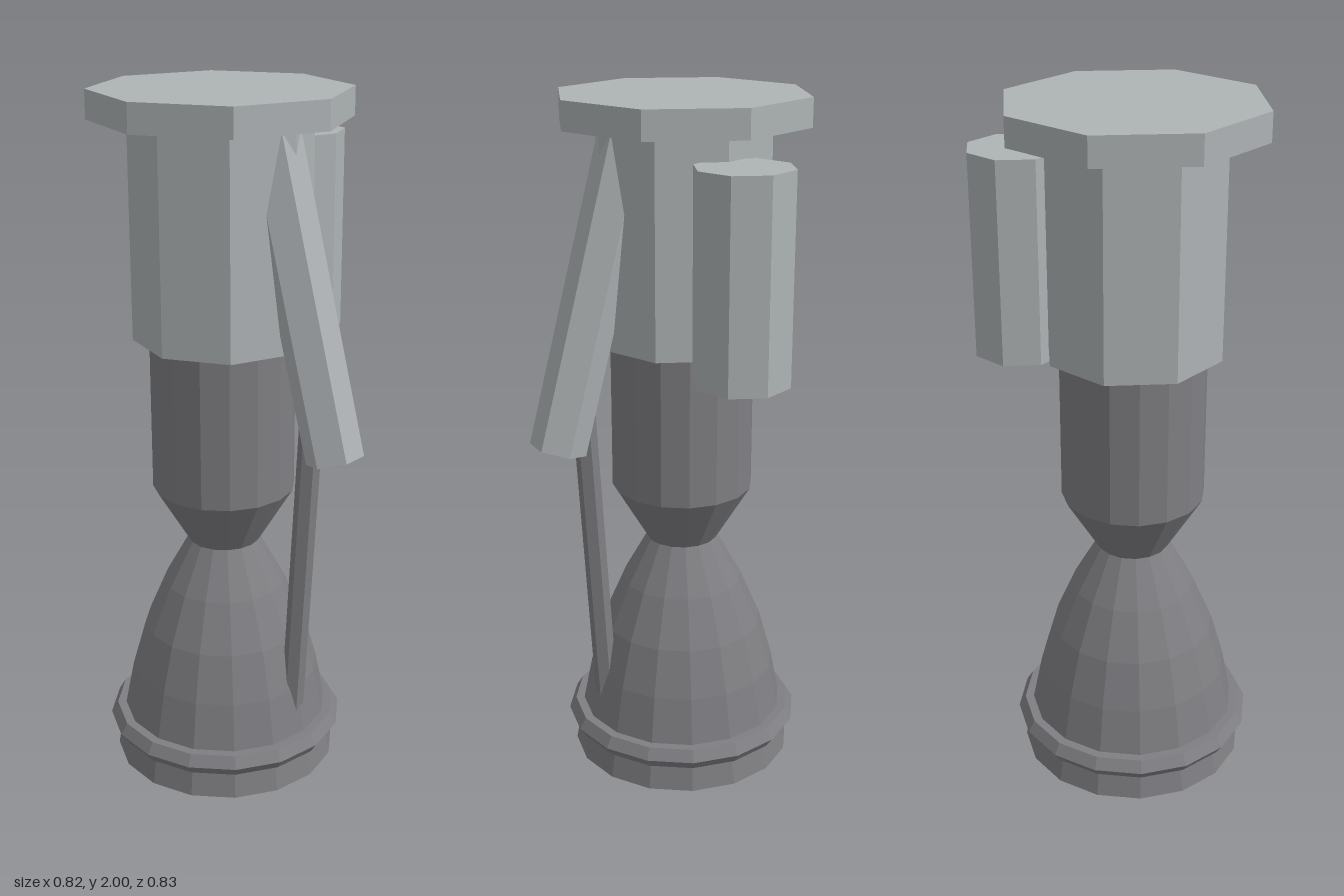
import * as THREE from 'three';

export function createModel() {
  const model = new THREE.Group();
  model.name = 'rocketEngine';

  const material = (name, color, options = {}) =>
    new THREE.MeshStandardMaterial({ name, color, flatShading: true, ...options });
  const lightGrey = material('lightGrey', 0xaeb3b5);
  const darkGrey = material('darkGrey', 0x7f7f83, { side: THREE.DoubleSide });

  // Parts share one engine axis, slightly off the origin
  const engine = new THREE.Group();
  engine.name = 'engine';
  engine.position.set(-0.054, 0, 0.054);
  model.add(engine);

  const add = (name, geometry, mat) => {
    const mesh = new THREE.Mesh(geometry, mat);
    mesh.name = name;
    engine.add(mesh);
    return mesh;
  };

  // Faceted cylinder between two points [x, y, z]
  const rod = (name, from, to, radius, sides, mat) => {
    const a = new THREE.Vector3(...from);
    const b = new THREE.Vector3(...to);
    const dir = b.clone().sub(a);
    const mesh = add(name, new THREE.CylinderGeometry(radius, radius, dir.length(), sides), mat);
    mesh.position.copy(a).add(b).multiplyScalar(0.5);
    mesh.quaternion.setFromUnitVectors(new THREE.Vector3(0, 1, 0), dir.normalize());
  };

  const lathe = (name, profile, sides, mat) =>
    add(name, new THREE.LatheGeometry(profile.map(([r, y]) => new THREE.Vector2(r, y)), sides), mat);

  // Mounting plate, upper housing and rear tank
  rod('mountingPlate', [0, 1.92, 0], [0, 2, 0], 0.36, 8, lightGrey);
  rod('upperHousing', [0, 1.31, 0], [0, 1.92, 0], 0.253, 8, lightGrey);
  rod('rearTank', [0, 1.27, -0.334], [0, 1.85, -0.334], 0.137, 8, lightGrey);

  // Combustion chamber narrowing to the throat
  lathe('chamber', [[0.105, 0.695], [0.207, 0.865], [0.207, 1.32]], 16, darkGrey);

  // Open bell nozzle
  lathe('nozzle', [
    [0.333, 0], [0.307, 0.143], [0.28, 0.28], [0.24, 0.42], [0.18, 0.56], [0.105, 0.695],
  ], 16, darkGrey);

  // Stiffening ring near the nozzle exit
  lathe('nozzleRing', [
    [0.315, 0.08], [0.333, 0.08], [0.353, 0.11], [0.333, 0.143], [0.305, 0.143],
  ], 16, darkGrey);

  // Slanted turbine housing and its exhaust pipe on the left side
  rod('turbineHousing', [0.397, 1.037, 0], [0.169, 1.89, 0], 0.081, 6, lightGrey);
  rod('exhaustPipe', [0.257, 0.15, 0], [0.322, 1.25, 0], 0.033, 6, darkGrey);

  return model;
}
